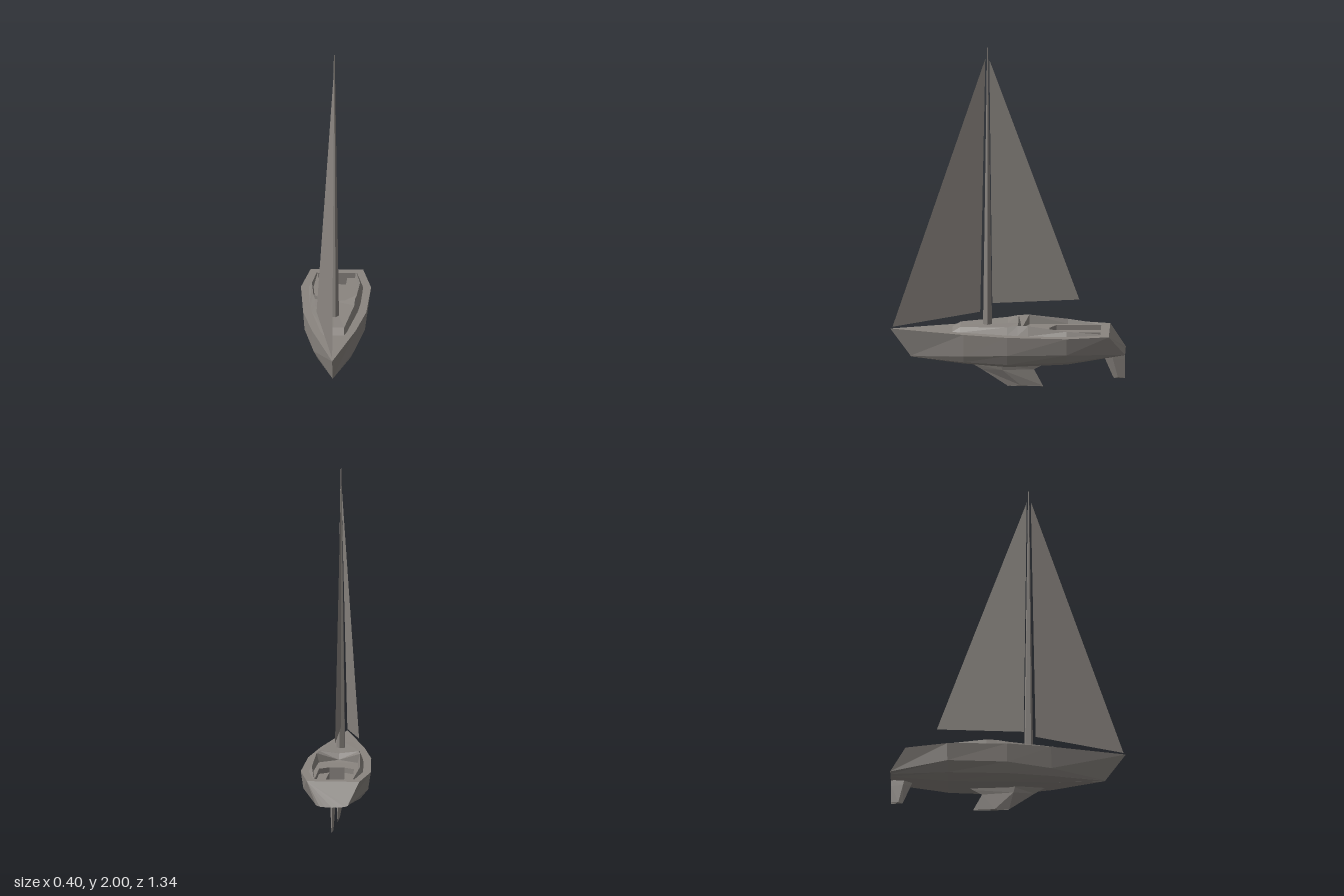
import * as THREE from 'three';

const paint = new THREE.MeshStandardMaterial({ color: 0x8a8580, flatShading: true, side: THREE.DoubleSide });
paint.name = 'warm grey';

function add(group, name, geometry) {
  const mesh = new THREE.Mesh(geometry, paint);
  mesh.name = name;
  group.add(mesh);
  return mesh;
}

// Skin of quads between rows of [x, y, z] points
function loft(rows) {
  const pos = [];
  for (let i = 0; i < rows.length - 1; i++) {
    for (let j = 0; j < rows[i].length - 1; j++) {
      const a = rows[i][j], b = rows[i][j + 1], c = rows[i + 1][j + 1], d = rows[i + 1][j];
      pos.push(...a, ...b, ...c, ...a, ...c, ...d);
    }
  }
  return finish(pos);
}

// Triangle fan around the first point
function fan(points) {
  const pos = [];
  for (let i = 1; i < points.length - 1; i++) pos.push(...points[0], ...points[i], ...points[i + 1]);
  return finish(pos);
}

function finish(pos) {
  const g = new THREE.BufferGeometry();
  g.setAttribute('position', new THREE.Float32BufferAttribute(pos, 3));
  g.computeVertexNormals();
  return g;
}

const flip = ([x, y, z]) => [-x, y, z];
// Half section ending on the centre line becomes a full one
const mirrored = half => [...half, ...half.slice(0, -1).reverse().map(flip)];

// Foil from a centre-line outline: thickness per [z, y, halfWidth] row pair (leading, trailing)
function foil(levels) {
  const rows = levels.map(([y, front, back, w]) => {
    const mid = front + (back - front) * 0.4;
    return [[0, y, front], [w, y, mid], [0, y, back], [-w, y, mid], [0, y, front]];
  });
  return loft(rows);
}

export function createModel() {
  const boat = new THREE.Group();
  boat.name = 'sailboat';

  // Hull: gunwale, chine, bilge, garboard and keel points from stern to bow
  const Y = 0.335;
  const sections = [
    [[0.15, Y, -0.58], [0.09, 0.215, -0.67], [0.07, 0.208, -0.67], [0.04, 0.205, -0.67], [0, 0.203, -0.67]],
    [[0.2, Y, -0.34], [0.185, 0.235, -0.34], [0.14, 0.18, -0.34], [0.08, 0.152, -0.34], [0, 0.146, -0.34]],
    [[0.18, Y, 0], [0.172, 0.225, 0], [0.145, 0.165, 0], [0.09, 0.137, 0], [0, 0.13, 0]],
    [[0.125, Y, 0.25], [0.115, 0.205, 0.25], [0.095, 0.165, 0.25], [0.05, 0.145, 0.25], [0, 0.136, 0.25]],
    [[0, Y, 0.67], [0, 0.175, 0.554], [0, 0.172, 0.552], [0, 0.17, 0.55], [0, 0.17, 0.55]],
  ].map(mirrored);
  add(boat, 'hull', loft(sections));
  add(boat, 'transom', fan(sections[0]));

  // Deck with an opening for the cockpit
  const edge = sections.map(s => s[0]);
  const outline = [...edge, ...edge.slice(0, -1).reverse().map(flip)];
  const deck = new THREE.Shape(outline.map(([x, , z]) => new THREE.Vector2(x, z)));
  const rim = [[0.108, -0.53], [0.1, -0.275], [0.042, -0.238]];
  const rimLoop = [...rim, ...rim.slice().reverse().map(([x, z]) => [-x, z])];
  deck.holes.push(new THREE.Path(rimLoop.map(([x, z]) => new THREE.Vector2(x, z))));
  const deckGeo = new THREE.ShapeGeometry(deck);
  deckGeo.rotateX(Math.PI / 2);
  add(boat, 'deck', deckGeo).position.y = Y;

  // Cockpit: outer wall, benches and footwell
  const closed = [...rimLoop, rimLoop[0]];
  add(boat, 'cockpitWall', loft([Y, 0.305].map(y => closed.map(([x, z]) => [x, y, z]))));
  for (const s of [1, -1]) {
    add(boat, s > 0 ? 'leftBench' : 'rightBench', loft([
      [[s * 0.108, 0.305, -0.53], [s * 0.06, 0.305, -0.53], [s * 0.06, 0.265, -0.53]],
      [[s * 0.1, 0.305, -0.275], [s * 0.045, 0.305, -0.275], [s * 0.045, 0.265, -0.275]],
      [[s * 0.042, 0.305, -0.238], [s * 0.042, 0.305, -0.238], [s * 0.042, 0.265, -0.238]],
    ]));
  }
  add(boat, 'footwell', loft([
    [[0.06, 0.305, -0.53], [-0.06, 0.305, -0.53]],
    [[0.06, 0.265, -0.53], [-0.06, 0.265, -0.53]],
    [[0.042, 0.265, -0.238], [-0.042, 0.265, -0.238]],
    [[0.042, 0.305, -0.238], [-0.042, 0.305, -0.238]],
  ]));

  // Cabin roof, and the notched bulkhead behind it
  add(boat, 'cabin', loft([
    [[0.06, Y, 0.315], [0.056, Y, 0.315], [0, Y, 0.315]],
    [[0.075, Y, 0.27], [0.06, 0.363, 0.27], [0, 0.363, 0.27]],
    [[0.13, Y, 0], [0.112, 0.378, 0], [0, 0.372, 0]],
    [[0.138, Y, -0.06], [0.114, 0.389, -0.06], [0, 0.375, -0.06]],
  ].map(mirrored)));
  add(boat, 'bulkhead', fan([
    [0, 0.342, -0.08], [0.11, Y, -0.12], [0.124, 0.389, -0.12], [0.114, 0.389, -0.06], [0, 0.375, -0.06],
    [-0.114, 0.389, -0.06], [-0.124, 0.389, -0.12], [-0.11, Y, -0.12], [0.11, Y, -0.12],
  ]));

  // Coamings running aft from the cabin
  for (const s of [1, -1]) {
    add(boat, s > 0 ? 'leftCoaming' : 'rightCoaming', loft([
      [[0.138, Y, -0.06], [0.114, 0.389, -0.06], [0.106, Y, -0.06]],
      [[0.145, Y, -0.12], [0.124, 0.389, -0.12], [0.112, Y, -0.12]],
      [[0.155, Y, -0.34], [0.137, 0.362, -0.34], [0.128, Y, -0.34]],
      [[0.116, Y, -0.53], [0.112, 0.341, -0.53], [0.109, Y, -0.53]],
    ].map(row => row.map(([x, y, z]) => [s * x, y, z]))));
  }

  // Mast
  const mast = add(boat, 'mast', new THREE.CylinderGeometry(0.003, 0.027, 1.64, 5));
  mast.position.set(0, 1.18, 0.115);
  mast.rotation.y = 0.3;

  // Sails: mainsail on the centre line, jib sheeted out to the right
  add(boat, 'mainsail', fan([[0, 0.49, 0.088], [0, 0.507, -0.18], [0, 0.515, -0.408],
    [0, 1.16, -0.175], [0, 1.93, 0.105]]));
  add(boat, 'jib', fan([[0, 0.345, 0.657], [-0.1, 0.41, 0.16], [0, 1.935, 0.128]]));

  // Keel fin and rudder
  add(boat, 'keel', foil([[0.15, 0.24, -0.23, 0.03], [0.13, 0.2, -0.205, 0.027],
    [0.1, 0.15, -0.15, 0.022], [0.005, 0.005, -0.2, 0.006], [0, 0, -0.2, 0]]));
  add(boat, 'rudder', foil([[0.2, -0.54, -0.668, 0.014], [0.165, -0.555, -0.668, 0.013],
    [0.06, -0.6, -0.668, 0.006], [0.053, -0.605, -0.668, 0]]));

  return boat;
}
